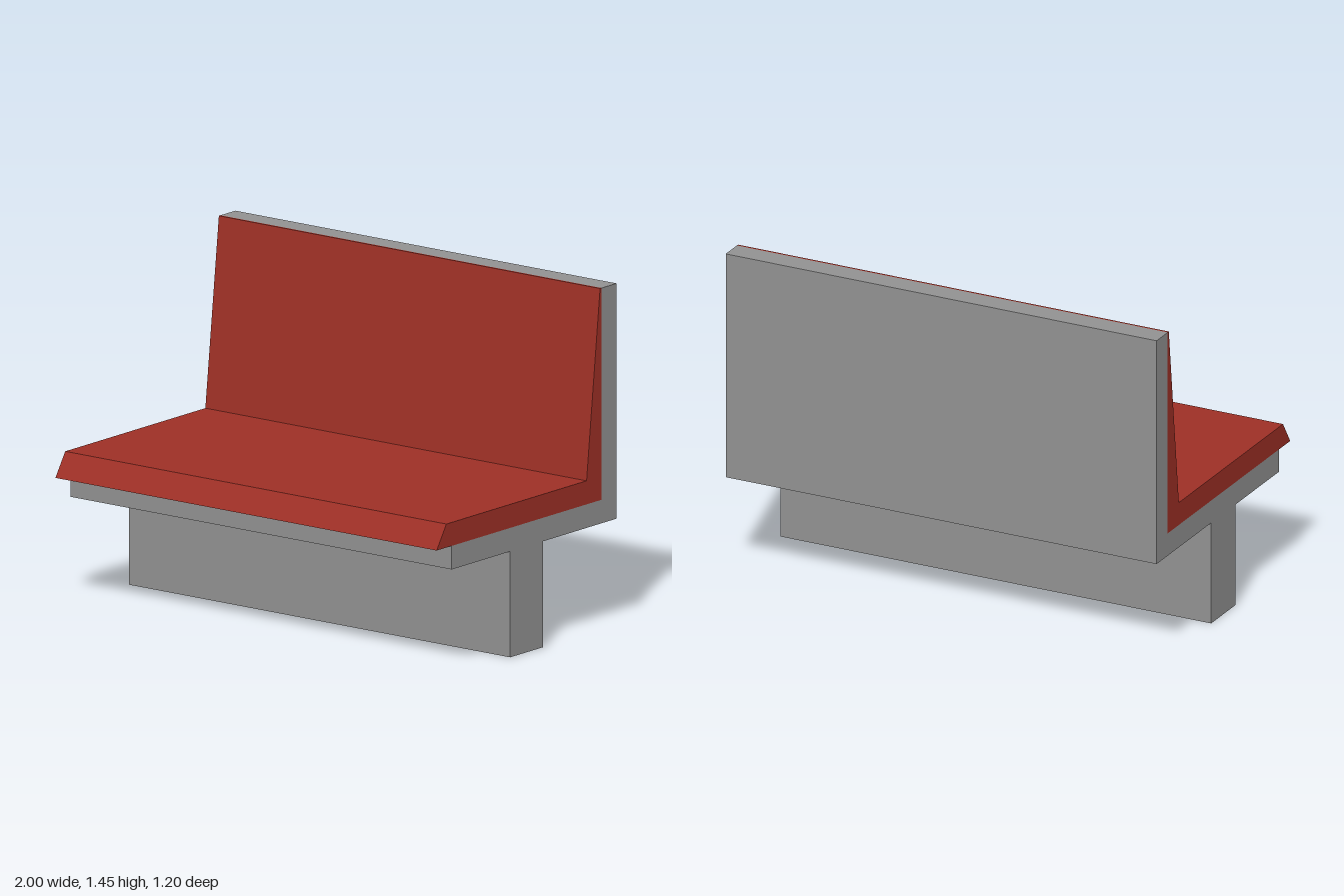
import * as THREE from 'three';

const WIDTH = 2;

// Sweeps a side profile of [z, y] points across the full width of the bench
function sweep(name, profile, material) {
  const shape = new THREE.Shape(profile.map(([z, y]) => new THREE.Vector2(z, y)));
  const geometry = new THREE.ExtrudeGeometry(shape, { depth: WIDTH, bevelEnabled: false });
  geometry.translate(0, 0, -WIDTH / 2);
  geometry.rotateY(-Math.PI / 2);
  const mesh = new THREE.Mesh(geometry, material);
  mesh.name = name;
  return mesh;
}

export function createModel() {
  const grey = new THREE.MeshStandardMaterial({ color: 0x929292 });
  grey.name = 'grey frame';
  const red = new THREE.MeshStandardMaterial({ color: 0x9e3026 });
  red.name = 'red upholstery';

  const bench = new THREE.Group();
  bench.name = 'bench';

  // Pedestal, seat base and back panel in one section
  bench.add(sweep('frame', [
    [-0.11, 0], [0.11, 0], [0.11, 0.45], [0.5, 0.45], [0.5, 0.55],
    [-0.5, 0.55], [-0.5, 1.45], [-0.6, 1.45], [-0.6, 0.45], [-0.11, 0.45],
  ], grey));

  // Seat pad with a slanted, overhanging front and a tapered back pad
  bench.add(sweep('cushion', [
    [-0.5, 0.55], [0.6, 0.55], [0.535, 0.65], [-0.4, 0.65], [-0.49, 1.45], [-0.5, 1.45],
  ], red));

  return bench;
}
